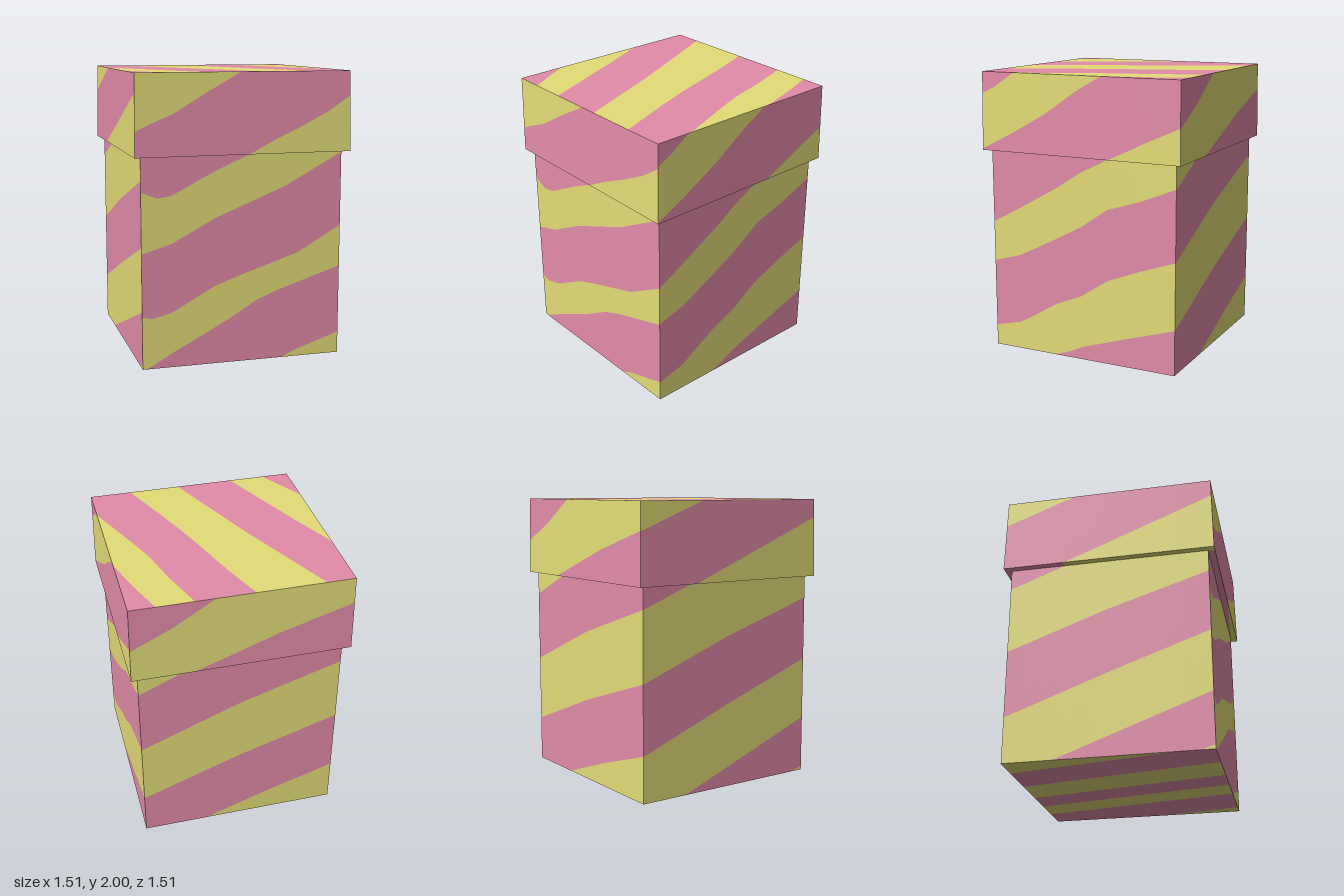
import * as THREE from 'three';

const pink = new THREE.MeshStandardMaterial({ color: 0xe38ca9 });
pink.name = 'pink';
const yellow = new THREE.MeshStandardMaterial({ color: 0xe4dd78 });
yellow.name = 'yellow';

// Height of a polyline [[u, v], ...] at u, running straight on past its ends
function heightAt(line, u) {
  let i = 0;
  while (i < line.length - 2 && u > line[i + 1][0]) i++;
  const [a, b] = [line[i], line[i + 1]];
  return a[1] + (b[1] - a[1]) * (u - a[0]) / (b[0] - a[0]);
}

// A face split into alternating bands by boundary lines, listed from low to high v.
// place(u, v) puts a point of the face in space; first is the lowest band (0 pink, 1 yellow).
function stripedFace(name, half, v0, v1, first, lines, place) {
  const columns = 64;
  const corners = [[], []];
  for (let c = 0; c < columns; c++) {
    const [l, r] = [c, c + 1].map((k) => {
      const u = half * (2 * k / columns - 1);
      const levels = [v0];
      for (const line of lines) {
        levels.push(Math.min(v1, Math.max(levels[levels.length - 1], heightAt(line, u))));
      }
      levels.push(v1);
      return { u, levels };
    });
    for (let b = 0; b <= lines.length; b++) {
      const p = place(l.u, l.levels[b]), q = place(r.u, r.levels[b]);
      const s = place(r.u, r.levels[b + 1]), t = place(l.u, l.levels[b + 1]);
      const out = corners[(first + b) % 2];
      if (r.levels[b + 1] - r.levels[b] > 1e-6) out.push(...p, ...q, ...s);
      if (l.levels[b + 1] - l.levels[b] > 1e-6) out.push(...p, ...s, ...t);
    }
  }
  const geometry = new THREE.BufferGeometry();
  geometry.setAttribute('position', new THREE.Float32BufferAttribute([...corners[0], ...corners[1]], 3));
  geometry.addGroup(0, corners[0].length / 3, 0);
  geometry.addGroup(corners[0].length / 3, corners[1].length / 3, 1);
  geometry.computeVertexNormals();
  const mesh = new THREE.Mesh(geometry, [pink, yellow]);
  mesh.name = name;
  return mesh;
}

// Stripe edges on the four sides of the box, u running rightwards as seen from outside
const boxSides = {
  Front: [1, [
    [[0.28, 0], [0.4, 0.05], [0.705, 0.15]],
    [[-0.68, 0], [-0.5, 0.1], [-0.25, 0.23], [-0.1, 0.31], [0.1, 0.43], [0.25, 0.49], [0.705, 0.635]],
    [[-0.705, 0.365], [-0.63, 0.35], [-0.5, 0.385], [-0.2, 0.55], [0, 0.62], [0.4, 0.75], [0.705, 0.925]],
    [[-0.705, 0.8], [-0.5, 0.86], [-0.2, 1.02], [0, 1.1], [0.3, 1.22], [0.705, 1.44]],
    [[-0.705, 1.215], [-0.6, 1.17], [-0.5, 1.185], [-0.2, 1.34], [0.03, 1.44]],
  ]],
  Left: [0, [
    [[-0.22, 0], [-0.1, 0.04], [0, 0.09], [0.3, 0.19], [0.705, 0.32]],
    [[-0.705, 0.15], [-0.5, 0.2], [-0.2, 0.38], [0, 0.465], [0.2, 0.6], [0.45, 0.7], [0.705, 0.79]],
    [[-0.705, 0.64], [-0.5, 0.7], [-0.3, 0.8], [0, 0.96], [0.2, 1.1], [0.45, 1.18], [0.705, 1.285]],
    [[-0.705, 0.93], [-0.5, 1.04], [-0.2, 1.21], [0, 1.34], [0.2, 1.44]],
  ]],
  Back: [1, [
    [[-0.255, 0], [0.22, 0.17], [0.705, 0.325]],
    [[-0.705, 0.32], [0, 0.585], [0.705, 0.81]],
    [[-0.705, 0.79], [0, 1.076], [0.705, 1.3]],
    [[-0.705, 1.285], [-0.33, 1.45]],
  ]],
  Right: [1, [
    [[0.61, 0], [0.705, 0.03]],
    [[-0.365, 0], [0.705, 0.4]],
    [[-0.705, 0.325], [0, 0.59], [0.705, 0.84]],
    [[-0.705, 0.81], [0, 1.07], [0.705, 1.29]],
    [[-0.705, 1.3], [-0.31, 1.45]],
  ]],
};

// Stripe edges on the four sides of the lid
const lidSides = {
  Front: [1, [
    [[0.03, 1.45], [0.2, 1.54], [0.4, 1.63], [0.6, 1.73], [0.75, 1.83]],
    [[-0.755, 1.62], [-0.65, 1.67], [-0.5, 1.73], [-0.3, 1.85], [-0.03, 2]],
  ]],
  Left: [1, [
    [[0.23, 1.45], [0.4, 1.53], [0.5, 1.58], [0.75, 1.69]],
    [[-0.755, 1.46], [-0.5, 1.59], [-0.25, 1.73], [0, 1.9], [0.18, 2]],
    [[-0.75, 1.85], [-0.65, 1.9], [-0.5, 2]],
  ]],
  Back: [0, [
    [[-0.33, 1.45], [0.26, 1.665], [0.75, 1.81]],
    [[-0.75, 1.69], [-0.48, 1.82], [-0.185, 2]],
  ]],
  Right: [1, [
    [[-0.31, 1.45], [0.75, 1.87]],
    [[-0.75, 1.81], [-0.25, 2]],
  ]],
};

// Stripe edges on the flat faces: x as a function of u
const topStripes = [
  [[0.4, -0.75], [0.75, -0.55]],
  [[-0.28, -0.75], [0.05, -0.6], [0.4, -0.45], [0.75, -0.3]],
  [[-0.75, -0.55], [-0.42, -0.4], [0.02, -0.2], [0.75, 0.1]],
  [[-0.75, -0.08], [-0.45, 0.03], [0.02, 0.18], [0.35, 0.3], [0.75, 0.46]],
  [[-0.75, 0.32], [-0.45, 0.42], [-0.15, 0.5], [0.06, 0.58], [0.48, 0.75]],
  [[-0.75, 0.57], [-0.5, 0.66], [-0.2, 0.75]],
];
const rimStripes = [
  [[-0.755, -0.7], [0.31, -0.7], [0.33, -0.76]],
  [[-0.755, 0.03], [-0.705, 0.76], [0.23, 0.76], [0.755, 0.33]],
];
const baseStripes = [-0.95, -0.75, -0.45, -0.18, 0.04, 0.25, 0.6].map(
  (x) => [[-0.705, x], [0.705, x + 0.25]]);

// Four upright sides, each turned a quarter further round; halfAt(y) gives the half width
function addSides(group, prefix, sides, y0, y1, halfAt) {
  Object.entries(sides).forEach(([side, [first, lines]], i) => {
    const half = halfAt(y0);
    const mesh = stripedFace(prefix + side, half, y0, y1, first, lines,
      (u, y) => [u * halfAt(y) / half, y, halfAt(y)]);
    mesh.rotation.y = i * Math.PI / 2;
    group.add(mesh);
  });
}

export function createModel() {
  const model = new THREE.Group();
  model.name = 'giftBox';

  // Box
  const box = new THREE.Group();
  box.name = 'box';
  addSides(box, 'box', boxSides, 0, 1.45, () => 0.708);
  box.add(stripedFace('boxBottom', 0.708, -0.708, 0.708, 0, baseStripes, (u, x) => [x, 0, -u]));

  // Lid, slightly wider at its rim
  const lid = new THREE.Group();
  lid.name = 'lid';
  addSides(lid, 'lid', lidSides, 1.45, 2, (y) => 0.755 - 0.008 * (y - 1.45) / 0.55);
  lid.add(stripedFace('lidTop', 0.747, -0.747, 0.747, 0, topStripes, (u, x) => [x, 2, u]));
  lid.add(stripedFace('lidRim', 0.755, -0.755, 0.755, 1, rimStripes, (u, x) => [x, 1.45, -u]));

  model.add(box, lid);
  return model;
}
